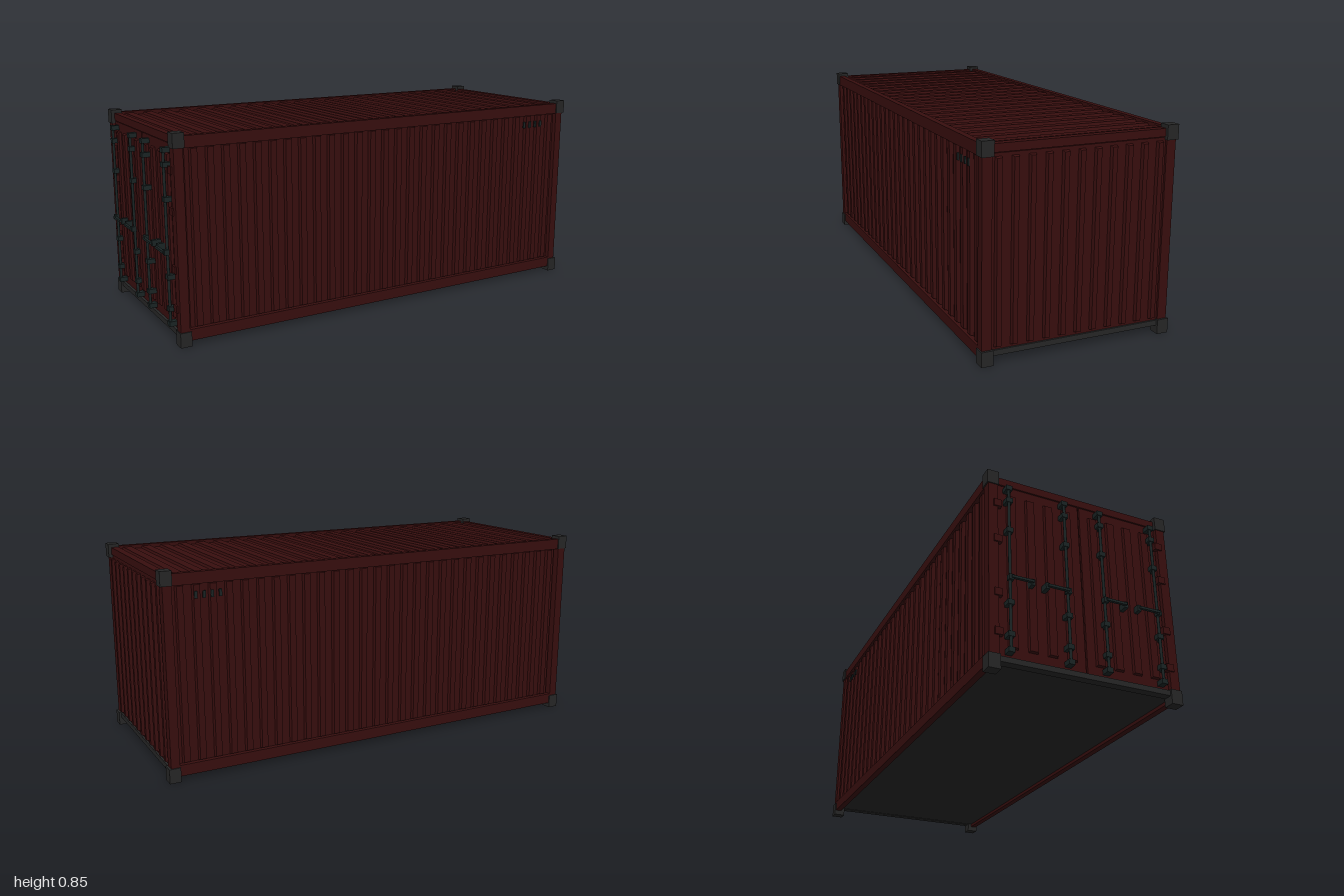
import * as THREE from 'three';

const paint = (name, color) => Object.assign(new THREE.MeshStandardMaterial({ color }), { name });

export function createModel() {
  const red = paint('dark red paint', 0x380e0e);
  const black = paint('black steel', 0x262626);
  const steel = paint('dark lock steel', 0x1a2424);
  const model = new THREE.Group();
  model.name = 'shippingContainer';

  function add(parent, name, geometry, material, x = 0, y = 0, z = 0) {
    const mesh = new THREE.Mesh(geometry, material);
    mesh.name = name;
    mesh.position.set(x, y, z);
    parent.add(mesh);
    return mesh;
  }
  // Box given by its lower and upper corner
  function box(parent, name, material, [x0, y0, z0], [x1, y1, z1]) {
    return add(parent, name, new THREE.BoxGeometry(x1 - x0, y1 - y0, z1 - z0), material,
      (x0 + x1) / 2, (y0 + y1) / 2, (z0 + z1) / 2);
  }
  // Raised rib along y, facing +z, with sloping sides and ends
  function ribGeometry(width, length, depth) {
    const g = new THREE.BoxGeometry(width, length, depth);
    const p = g.attributes.position;
    for (let i = 0; i < p.count; i++) {
      if (p.getZ(i) < 0) continue;
      p.setX(i, p.getX(i) - Math.sign(p.getX(i)) * 0.004);
      p.setY(i, p.getY(i) - Math.sign(p.getY(i)) * 0.004);
    }
    g.computeVertexNormals();
    return g.translate(0, 0, depth / 2);
  }
  // Ribbed plate whose outer face lies at local z = 0
  function ribbedPanel(name, width, length, ribs, pitch, ribWidth, depth, ribLength) {
    const panel = new THREE.Group();
    panel.name = name;
    box(panel, 'plate', red, [-width / 2, -length / 2, -0.01], [width / 2, length / 2, 0]);
    const g = ribGeometry(ribWidth, ribLength, depth);
    for (let i = 0; i < ribs; i++) add(panel, 'rib', g, red, (i - (ribs - 1) / 2) * pitch, 0, 0);
    model.add(panel);
    return panel;
  }

  // Corner castings and posts
  for (const s of [-1, 1]) {
    for (const [x0, x1] of [[-0.972, -0.925], [0.948, 0.995]]) {
      const z0 = s > 0 ? 0.356 : -0.405, z1 = s > 0 ? 0.405 : -0.356;
      box(model, 'lowerCornerCasting', black, [x0, 0, z0], [x1, 0.06, z1]);
      box(model, 'upperCornerCasting', black, [x0, 0.786, z0], [x1, 0.845, z1]);
    }
    const z0 = s > 0 ? 0.36 : -0.4, z1 = s > 0 ? 0.4 : -0.36;
    box(model, 'doorPost', red, [-0.968, 0.05, z0], [-0.93, 0.79, z1]);
    box(model, 'endPost', red, [0.95, 0.05, z0], [0.986, 0.79, z1]);

    // Long side rails
    const r0 = s > 0 ? 0.373 : -0.4, r1 = s > 0 ? 0.4 : -0.373;
    box(model, 'lowerSideRail', red, [-0.93, 0.022, r0], [0.955, 0.068, r1]);
    box(model, 'upperSideRail', red, [-0.968, 0.785, r0], [0.986, 0.832, r1]);

    // Corrugated side wall, leaving a slit beside the door post
    const wall = ribbedPanel('sideWall', 1.872, 0.73, 28, 0.0667, 0.034, 0.014, 0.715);
    wall.position.set(0.016, 0.427, s * 0.38);
    if (s < 0) wall.rotation.y = Math.PI;

    // Small vents near the closed end
    for (let i = 0; i < 4; i++) {
      box(model, 'vent', steel, [0.75 + i * 0.033, 0.728, s * 0.396 - 0.003],
        [0.762 + i * 0.033, 0.756, s * 0.396 + 0.003]);
    }
  }

  // Cross beams and floor
  box(model, 'endHeader', red, [0.95, 0.798, -0.375], [0.982, 0.83, 0.375]);
  box(model, 'doorHeader', red, [-0.958, 0.798, -0.375], [-0.93, 0.83, 0.375]);
  box(model, 'endSill', black, [0.95, 0.034, -0.37], [0.985, 0.056, 0.37]);
  box(model, 'doorSill', black, [-0.965, 0.034, -0.37], [-0.93, 0.056, 0.37]);
  box(model, 'floor', black, [-0.935, 0.036, -0.375], [0.955, 0.054, 0.375]);

  // Corrugated closed end and roof
  const end = ribbedPanel('endWall', 0.73, 0.741, 11, 0.0667, 0.028, 0.014, 0.716);
  end.position.set(0.977, 0.4245, 0);
  end.rotation.y = Math.PI / 2;
  const roof = ribbedPanel('roof', 1.9, 0.748, 22, 0.0855, 0.045, 0.01, 0.744);
  roof.position.set(0.01, 0.816, 0);
  roof.rotation.x = -Math.PI / 2;

  // Two doors with hinges, lock rods and handles
  const rod = new THREE.CylinderGeometry(0.006, 0.006, 0.71, 10);
  for (const s of [-1, 1]) {
    const door = ribbedPanel('door', 0.353, 0.738, 4, 0.08, 0.04, 0.01, 0.66);
    door.position.set(-0.955, 0.426, s * 0.18);
    door.rotation.y = -Math.PI / 2;

    for (const y of [0.15, 0.31, 0.54, 0.7]) {
      box(model, 'hinge', red, [-0.974, y - 0.015, s * 0.362 - 0.016], [-0.955, y + 0.015, s * 0.362 + 0.016]);
    }
    for (const [z, dir] of [[0.32, -1], [0.08, 1]]) {
      add(model, 'lockRod', rod, steel, -0.98, 0.425, s * z);
      for (const y of [0.078, 0.14, 0.27, 0.58, 0.715, 0.772]) {
        box(model, 'rodBracket', steel, [-0.988, y - 0.01, s * z - 0.013], [-0.955, y + 0.01, s * z + 0.013]);
      }
      const a = s * z, b = s * (z + dir * 0.09);
      box(model, 'lockHandle', steel, [-1, 0.366, Math.min(a, b)], [-0.989, 0.376, Math.max(a, b)]);
      box(model, 'handlePivot', steel, [-0.995, 0.36, a - 0.01], [-0.975, 0.382, a + 0.01]);
      box(model, 'handleCatch', steel, [-0.992, 0.358, b - 0.008], [-0.955, 0.384, b + 0.008]);
    }
  }
  return model;
}
